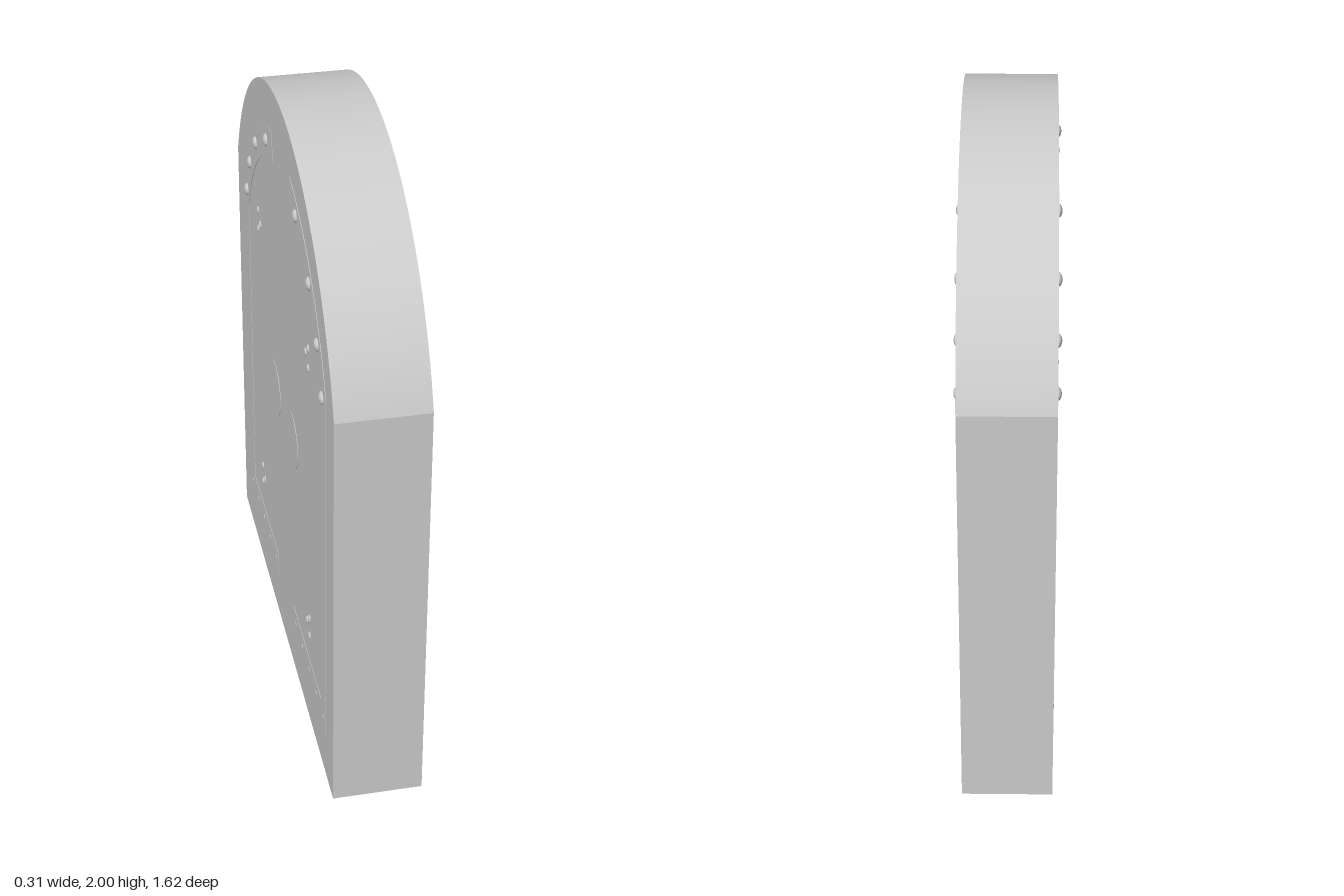
import * as THREE from 'three';
import { toCreasedNormals } from 'three/addons/utils/BufferGeometryUtils.js';

const FACE_R = 0.1405, FACE_L = -0.1435; // the two broad faces of the slab
const MID = 0.015;                       // z of the fittings' mirror line
const material = new THREE.MeshStandardMaterial({ color: 0xcccccc });

function add(parent, name, geometry) {
  const mesh = new THREE.Mesh(geometry, material);
  mesh.name = name;
  parent.add(mesh);
  return mesh;
}

// Extrudes a (z, y) outline so that it fills xMin..xMax
function plate(shape, xMin, xMax, curveSegments = 64) {
  const g = new THREE.ExtrudeGeometry(shape, { depth: xMax - xMin, bevelEnabled: false, curveSegments });
  g.rotateY(-Math.PI / 2).translate(xMax, 0, 0);
  return toCreasedNormals(g, 0.2);
}

// Slab outline: straight sides under a circular arch
function slabShape() {
  const w = 0.8125, cz = -0.007, r = 0.868, cy = 2 - r;
  const s = new THREE.Shape();
  s.moveTo(-w, 0);
  s.lineTo(w, 0);
  s.absarc(cz, cy, r, Math.acos((w - cz) / r), Math.acos((-w - cz) / r), false);
  s.closePath();
  return s;
}

// C-shaped strap: foot, upright and arched top; m = 1 or -1 picks the half
function strapShape(m) {
  const end = 0.145, cy = 1.11, outer = 0.685, inner = 0.61, R = 0.755, r = 0.655;
  const arc = (rad, from, to) => Array.from({ length: 25 }, (_, i) => {
    const a = THREE.MathUtils.lerp(Math.acos(from / rad), Math.acos(to / rad), i / 24);
    return [rad * Math.cos(a), cy + rad * Math.sin(a)];
  });
  const pts = [
    [end, 0.16], [outer, 0.16], ...arc(R, outer, end),
    ...arc(r, end, inner), [inner, 0.25], [end, 0.25],
  ];
  return new THREE.Shape(pts.map(([z, y]) => new THREE.Vector2(MID + m * z, y)));
}

function discShape(m) {
  return new THREE.Shape().absarc(MID + m * 0.15, 0.925, 0.093, 0, Math.PI * 2, false);
}

// Rivet heads as [distance from mirror line, y]
const archRivets = [[0.245, 1.775], [0.445, 1.665], [0.565, 1.535], [0.635, 1.4]];
const footRivets = [0, 1, 2, 3, 4].map(i => [0.185 + i * 0.115, 0.205]);
const boltTrios = [1.4, 0.39].flatMap(y => [[0.425, y + 0.034], [0.387, y], [0.425, y - 0.034]]);

function addRivets(parent, name, list, x, m, radius, height) {
  const geometry = new THREE.SphereGeometry(radius, 20, 14).scale(height / radius, 1, 1);
  for (const [z, y] of list) add(parent, name, geometry).position.set(x, y, MID + m * z);
}

export function createModel() {
  const door = new THREE.Group();
  door.name = 'archedDoor';
  add(door, 'slab', plate(slabShape(), FACE_L, FACE_R, 96));

  // Fittings on both faces, mirrored left and right on each
  for (const side of [1, -1]) {
    const fittings = new THREE.Group();
    fittings.name = side > 0 ? 'leftFaceFittings' : 'rightFaceFittings';
    door.add(fittings);
    const x = side > 0 ? FACE_R : FACE_L;
    const lo = Math.min(x - side * 0.01, x + side * 0.0015);
    const hi = lo + 0.0115;
    for (const m of [1, -1]) {
      add(fittings, 'strap', plate(strapShape(m), lo, hi));
      add(fittings, 'handlePlate', plate(discShape(m), lo, hi, 24));
      addRivets(fittings, 'archRivet', archRivets, x, m, 0.021, 0.0125);
      addRivets(fittings, 'bolt', boltTrios, x, m, 0.013, 0.006);
      addRivets(fittings, 'footRivet', footRivets, x, m, 0.012, 0.004);
    }
  }
  return door;
}
